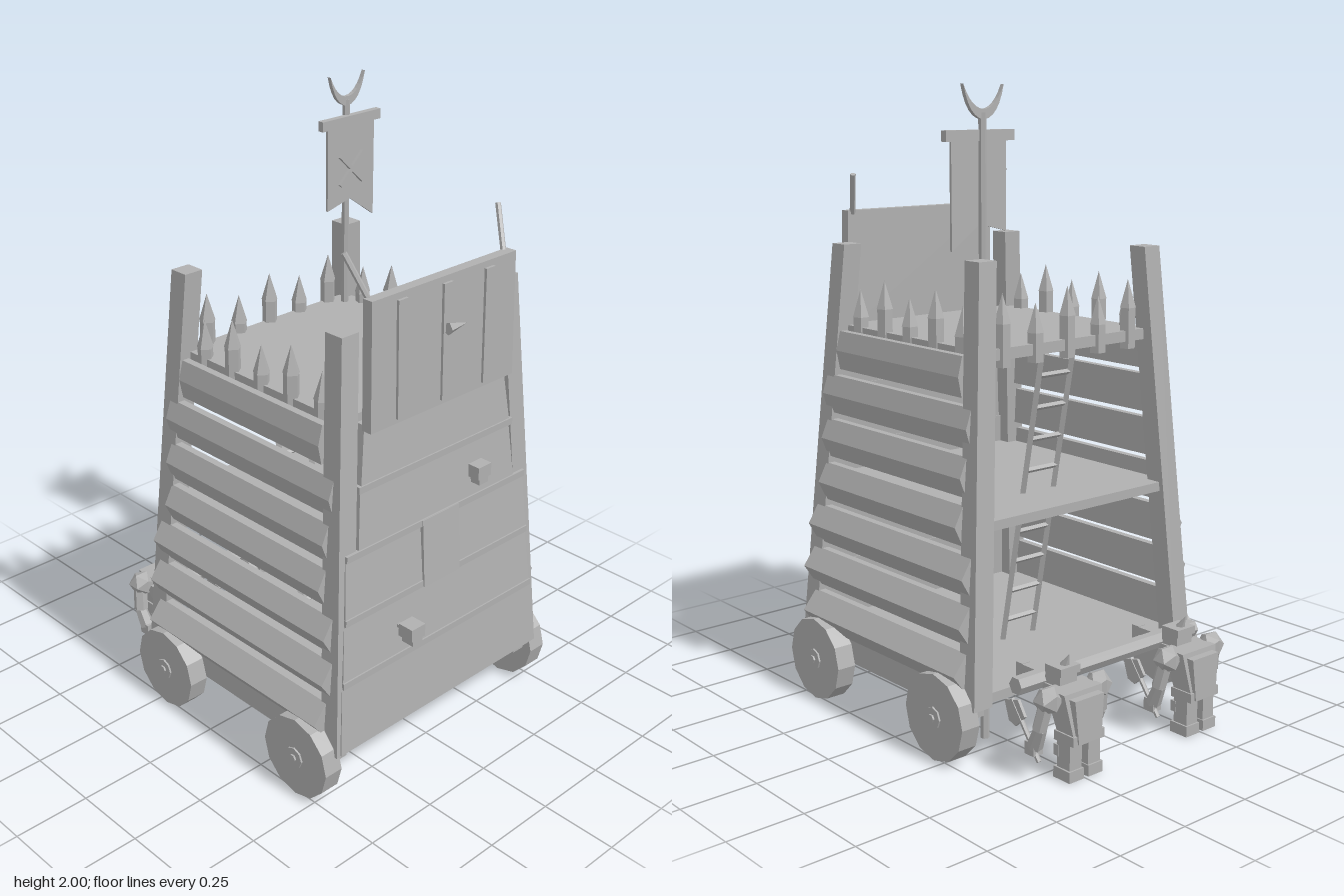
import * as THREE from 'three';

const grey = new THREE.MeshStandardMaterial({ color: 0xb0b0b0, flatShading: true });
grey.name = 'plain grey';

function add(parent, name, geo, x = 0, y = 0, z = 0, rx = 0, ry = 0, rz = 0) {
  const m = new THREE.Mesh(geo, grey);
  m.name = name;
  m.position.set(x, y, z);
  m.rotation.set(rx, ry, rz);
  parent.add(m);
  return m;
}
const box = (w, h, d) => new THREE.BoxGeometry(w, h, d);

// Box whose bottom and top rectangles differ: [centreX, centreZ, width, depth]
function taper(y0, lo, y1, hi) {
  const g = box(1, 1, 1), p = g.attributes.position;
  for (let i = 0; i < p.count; i++) {
    const top = p.getY(i) > 0, r = top ? hi : lo;
    p.setXYZ(i, r[0] + p.getX(i) * r[2], top ? y1 : y0, r[1] + p.getZ(i) * r[3]);
  }
  g.computeVertexNormals();
  return g;
}

// Straight round or many-sided bar between two points
function rod(parent, name, a, b, r0, r1 = r0, sides = 6) {
  const A = new THREE.Vector3(...a), B = new THREE.Vector3(...b), d = B.clone().sub(A);
  const m = add(parent, name, new THREE.CylinderGeometry(r1, r0, d.length(), sides));
  m.position.copy(A).add(B).multiplyScalar(0.5);
  m.quaternion.setFromUnitVectors(new THREE.Vector3(0, 1, 0), d.normalize());
  return m;
}

// Flat outline pushed out to a depth along +z
function plate(points, depth) {
  const s = new THREE.Shape(points.map(p => new THREE.Vector2(...p)));
  return new THREE.ExtrudeGeometry(s, { depth, bevelEnabled: false });
}

const postX = y => 0.465 - (y - 0.18) * 0.072;   // outer side of the posts
const postZ = y => 0.56 - (y - 0.18) * 0.065;    // front of the posts

function addFrame(g) {
  for (const s of [-1, 1]) {
    add(g, 'frontPost', taper(0.18, [s * 0.43, 0.525, 0.07, 0.07], 1.5, [s * 0.337, 0.44, 0.066, 0.066]));
    add(g, 'backPost', taper(0.18, [s * 0.43, -0.315, 0.07, 0.07], 1.5, [s * 0.337, -0.235, 0.066, 0.066]));
    add(g, 'baseBeam', box(0.05, 0.08, 0.84), s * 0.42, 0.18, 0.11);
  }
  add(g, 'baseFloor', box(0.86, 0.03, 0.88), 0, 0.205, 0.1);
  add(g, 'middleFloor', box(0.82, 0.03, 0.8), 0, 0.72, 0.1);
  add(g, 'topFloor', box(0.7, 0.035, 0.7), 0, 1.22, 0.1);
}

// Wedge-shaped boards on both sides
function addSides(g) {
  const ends = [[-0.3, 0.5], [-0.305, 0.515], [-0.3, 0.505], [-0.25, 0.465], [-0.255, 0.465], [-0.265, 0.475], [-0.21, 0.415]];
  ends.forEach(([z0, z1], i) => {
    const y = 0.285 + i * 0.146, tip = 0.502 - i * 0.0163, inner = postX(y) - 0.03;
    const geo = plate([[inner, y - 0.062], [postX(y) - 0.003, y - 0.062], [tip, y], [postX(y) - 0.006, y + 0.062], [inner, y + 0.062]], z1 - z0);
    for (const s of [-1, 1])
      s > 0 ? add(g, 'sideBoard', geo, 0, 0, z0) : add(g, 'sideBoard', geo, 0, 0, z1, 0, Math.PI, 0).scale.set(1, 1, 1);
  });
}

function addFront(g) {
  const ys = [0.185, 0.42, 0.625, 0.83, 1.03, 1.22];
  const lo = [0.45, 0.43, 0.41, 0.345, 0.325], hi = [0.43, 0.41, 0.395, 0.325, 0.3];
  const lips = [0, 0.43, 0.41, 0.395, 0.335];
  for (let i = 0; i < 5; i++) {
    const a = ys[i], b = ys[i + 1];
    add(g, 'frontBoard', taper(a, [0, postZ(a) - 0.01, lo[i] * 2, 0.03], b, [0, postZ(b) - 0.014, hi[i] * 2, 0.03]));
    if (i) add(g, 'frontLedge', box(lips[i] * 2, 0.022, 0.03), 0, a, postZ(a) - 0.006);
  }
  // Raised hatch in the middle
  add(g, 'frontHatch', taper(0.615, [0, postZ(0.615), 0.16, 0.025], 0.84, [0, postZ(0.84), 0.16, 0.025]));
  // Blocky knobs on pegs
  for (const [x, y, z] of [[0.165, 0.92, 0.528], [-0.185, 0.525, 0.594]]) {
    add(g, 'knob', box(0.058, 0.042, 0.055), x, y + 0.008, z);
    add(g, 'knobJaw', box(0.04, 0.024, 0.046), x, y - 0.022, z + 0.002);
    rod(g, 'knobPeg', [x, y, postZ(y) - 0.02], [x, y, z], 0.01);
  }
}

function addDrawbridge(g) {
  const d = new THREE.Group();
  d.name = 'drawbridge';
  g.add(d);
  add(d, 'bridgePanel', taper(1.205, [0, 0.508, 0.61, 0.035], 1.6, [0, 0.5, 0.6, 0.035]));
  for (const x of [-0.185, 0, 0.18])
    add(d, 'bridgeStrip', taper(1.22, [x, 0.526, 0.038, 0.014], 1.58, [x, 0.52, 0.038, 0.014]));
  rod(d, 'bridgeSpike', [-0.01, 1.445, 0.535], [0.075, 1.44, 0.535], 0.02, 0, 5);
  for (const s of [-1, 1])
    rod(d, 'bridgeLever', [s * 0.28, 1.59, 0.487], [s * 0.318, 1.72, 0.425], 0.009);
}

// Pointed stakes round the top deck
function addStakes(g) {
  const stake = (x, z, tall) => {
    const top = tall ? 1.31 : 1.27;
    add(g, 'stake', new THREE.CylinderGeometry(0.025, 0.025, top - 1.18, 5), x, (top + 1.18) / 2, z);
    add(g, 'stakePoint', new THREE.ConeGeometry(0.027, 0.09, 5), x, top + 0.045, z);
  };
  for (let i = 0; i < 5; i++) {
    stake(-0.26 + i * 0.13, -0.24, i % 2 === 0);
    for (const s of [-1, 1]) stake(s * 0.34, -0.155 + i * 0.13, i % 2 === 1);
  }
}

function addWheels(g) {
  for (const s of [-1, 1]) for (const z of [0.425, -0.215]) {
    const w = new THREE.Group();
    w.name = 'wheel';
    w.position.set(s * 0.48, 0.137, z);
    g.add(w);
    add(w, 'wheelDisc', new THREE.CylinderGeometry(0.138, 0.138, 0.066, 12), 0, 0, 0, 0, 0, Math.PI / 2);
    add(w, 'wheelHub', new THREE.CylinderGeometry(0.035, 0.035, 0.078, 8), 0, 0, 0, 0, 0, Math.PI / 2);
    add(w, 'axleEnd', new THREE.CylinderGeometry(0.013, 0.013, 0.09, 6), 0, 0, 0, 0, 0, Math.PI / 2);
  }
}

function addLadder(g) {
  for (const s of [-1, 1]) rod(g, 'ladderRail', [s * 0.065, 0.21, -0.01], [s * 0.065, 1.2, -0.2], 0.012, 0.012, 4);
  for (let i = 0; i < 9; i++) {
    const t = 0.08 + i * 0.105, y = 0.21 + t * 0.99, z = -0.01 - t * 0.19;
    rod(g, 'ladderRung', [-0.065, y, z], [0.065, y, z], 0.009, 0.009, 4);
  }
}

function addBanner(g) {
  const b = new THREE.Group();
  b.name = 'banner';
  b.position.set(0.297, 0, -0.197);
  g.add(b);
  rod(b, 'bannerPole', [0, 0.005, 0], [0, 1.92, 0], 0.014, 0.012);
  add(b, 'bannerBar', box(0.255, 0.032, 0.022), 0.005, 1.855, 0.012);
  add(b, 'bannerCloth', plate([[-0.1, 1.85], [-0.1, 1.575], [0, 1.6], [0.105, 1.525], [0.105, 1.85]], 0.008), 0, 0, 0.013);
  for (const s of [-1, 1]) add(b, 'crossedSlat', box(0.012, 0.14, 0.012), 0, 1.7, 0.026, 0, 0, s * 0.8);
  // Crescent finial
  const c = new THREE.Shape();
  c.moveTo(-0.075, 2.0);
  c.quadraticCurveTo(-0.055, 1.905, 0, 1.9);
  c.quadraticCurveTo(0.055, 1.905, 0.075, 2.0);
  c.quadraticCurveTo(0.045, 1.93, 0, 1.93);
  c.quadraticCurveTo(-0.045, 1.93, -0.075, 2.0);
  add(b, 'crescent', new THREE.ExtrudeGeometry(c, { depth: 0.014, bevelEnabled: false, curveSegments: 6 }), 0, 0, -0.007);
}

// Stocky armoured worker leaning on the push bar
function addPusher(g, x) {
  const p = new THREE.Group();
  p.name = 'pusher';
  p.position.set(x, 0, 0);
  g.add(p);
  add(p, 'torso', taper(0.13, [0, -0.575, 0.11, 0.07], 0.27, [0, -0.545, 0.15, 0.085]));
  add(p, 'backPlate', taper(0.12, [0, -0.6, 0.09, 0.04], 0.255, [0, -0.588, 0.115, 0.055]));
  add(p, 'belt', box(0.125, 0.03, 0.085), 0, 0.13, -0.572);
  add(p, 'head', box(0.068, 0.07, 0.065), 0, 0.28, -0.492);
  add(p, 'jaw', box(0.08, 0.028, 0.04), 0, 0.25, -0.475);
  add(p, 'helmet', box(0.078, 0.025, 0.07), 0, 0.312, -0.498);
  rod(p, 'helmetHorn', [0, 0.31, -0.5], [0, 0.362, -0.527], 0.02, 0, 5);
  for (const s of [-1, 1]) {
    add(p, 'shoulder', new THREE.IcosahedronGeometry(0.045, 0), s * 0.1, 0.25, -0.545);
    rod(p, 'upperArm', [s * 0.108, 0.24, -0.545], [s * 0.12, 0.16, -0.53], 0.024);
    rod(p, 'forearm', [s * 0.12, 0.165, -0.535], [s * 0.115, 0.1, -0.505], 0.02, 0.025);
    add(p, 'fist', box(0.036, 0.04, 0.04), s * 0.115, 0.095, -0.5);
    add(p, 'leg', box(0.048, 0.11, 0.055), s * 0.037, 0.085, -0.57);
    add(p, 'kneePlate', box(0.052, 0.035, 0.02), s * 0.037, 0.085, -0.54);
    add(p, 'foot', box(0.058, 0.035, 0.07), s * 0.038, 0.0175, -0.568);
  }
  // Axe held in one hand
  rod(p, 'axeHandle', [0.12, 0.06, -0.53], [0.12, 0.22, -0.41], 0.008);
  add(p, 'axeHead', plate([[0.38, 0.21], [0.4, 0.15], [0.43, 0.14], [0.47, 0.18], [0.44, 0.225]], 0.01), 0.115, 0, 0, 0, Math.PI / 2, 0);
}

function addPushBar(g) {
  add(g, 'pushBar', new THREE.CylinderGeometry(0.028, 0.028, 0.76, 6), 0, 0.27, -0.437, 0, 0, Math.PI / 2);
  for (const s of [-1, 1]) {
    add(g, 'pushBarStrut', box(0.03, 0.026, 0.13), s * 0.25, 0.265, -0.375);
    add(g, 'strutFoot', box(0.03, 0.08, 0.03), s * 0.25, 0.24, -0.322);
  }
}

export function createModel() {
  const g = new THREE.Group();
  g.name = 'siegeTower';
  [addFrame, addSides, addFront, addDrawbridge, addStakes, addWheels, addLadder, addBanner, addPushBar].forEach(f => f(g));
  for (const x of [-0.25, 0.248]) addPusher(g, x);
  return g;
}
